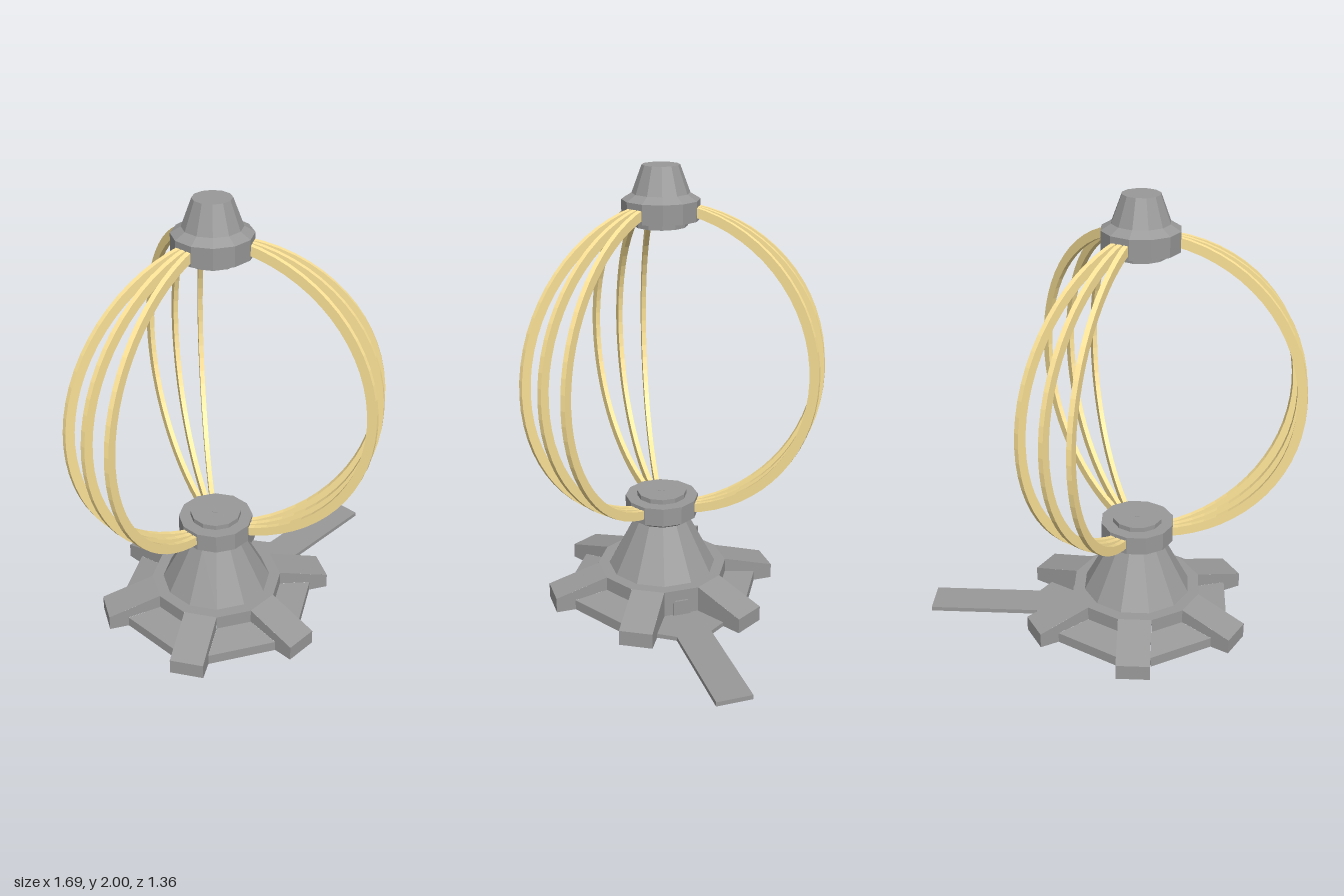
import * as THREE from 'three';

const AXIS_X = -0.126;
const grey = new THREE.MeshStandardMaterial({ color: 0x999999, flatShading: true });
const shell = new THREE.MeshStandardMaterial({ color: 0x999999, flatShading: true, side: THREE.DoubleSide });
const gold = new THREE.MeshStandardMaterial({ color: 0xffe599, flatShading: true });

function add(parent, name, geometry, material = grey) {
  const mesh = new THREE.Mesh(geometry, material);
  mesh.name = name;
  parent.add(mesh);
  return mesh;
}

// Faces given as convex corner loops, each fanned into triangles
function faces(loops) {
  const pos = [];
  for (const p of loops) {
    for (let i = 1; i < p.length - 1; i++) pos.push(...p[0], ...p[i], ...p[i + 1]);
  }
  const g = new THREE.BufferGeometry();
  g.setAttribute('position', new THREE.Float32BufferAttribute(pos, 3));
  g.computeVertexNormals();
  return g;
}

// Twelve-sided turned part, flats facing the axes; radii are across flats
function turned(profile) {
  const k = 1 / Math.cos(Math.PI / 12);
  const g = new THREE.LatheGeometry(profile.map(([r, y]) => new THREE.Vector2(r * k, y)), 12);
  return g.rotateY(Math.PI / 12);
}

// Hollow foot lying along +x; a side is taken to the ground where no skirt meets it
function footGeometry(openPlus, openMinus) {
  const w = 0.075;
  const side = (z, open) => {
    const at = ([x, y]) => [x, y, z];
    const loops = [
      [[0.29, 0.14], [0.29, open ? 0 : 0.075], [0.44, open ? 0 : 0.048], [0.44, 0.096]].map(at),
      [[0.44, 0.096], [0.44, 0], [0.53, 0], [0.53, 0.07]].map(at),
    ];
    return z > 0 ? loops : loops.map((l) => l.reverse());
  };
  return faces([
    ...side(w, openPlus),
    ...side(-w, openMinus),
    [[0.29, 0.14, w], [0.53, 0.07, w], [0.53, 0.07, -w], [0.29, 0.14, -w]],
    [[0.53, 0.07, w], [0.53, 0, w], [0.53, 0, -w], [0.53, 0.07, -w]],
  ]);
}

// Strip of quads through stations of [x, y, halfWidth]
function strip(stations) {
  const loops = [];
  for (let i = 0; i < stations.length - 1; i++) {
    const [x0, y0, w0] = stations[i];
    const [x1, y1, w1] = stations[i + 1];
    loops.push([[x0, y0, w0], [x1, y1, w1], [x1, y1, -w1], [x0, y0, -w0]]);
  }
  return faces(loops);
}

function buildBase(model) {
  const base = new THREE.Group();
  base.name = 'base';
  model.add(base);

  for (let i = 0; i < 6; i++) {
    add(base, 'foot', footGeometry(i === 0, i === 5), shell).rotation.y = Math.PI / 6 + (i * Math.PI) / 3;
    const profile = i === 0
      ? [[0.29, 0.14, 0.08], [0.29, 0, 0.08]]
      : [[0.29, 0.14, 0.08], [0.29, 0.075, 0.08], [0.42, 0.048, 0.155], [0.42, 0, 0.155]];
    add(base, i === 0 ? 'entranceWall' : 'skirtPanel', strip(profile), shell).rotation.y = (i * Math.PI) / 3;
  }
  add(base, 'platform', turned([[0.29, 0.14], [0, 0.14]]), shell);
  add(base, 'coreColumn', turned([[0, 0], [0.145, 0], [0.145, 0.15]]));

  // Door on the entrance wall
  const door = new THREE.Shape();
  door.moveTo(-0.04, 0.01);
  door.lineTo(0.04, 0.01);
  door.lineTo(0.04, 0.08);
  door.lineTo(0.03, 0.09);
  door.lineTo(-0.03, 0.09);
  door.lineTo(-0.04, 0.08);
  const doorGeo = new THREE.ExtrudeGeometry(door, { depth: 0.014, bevelEnabled: false });
  add(base, 'door', doorGeo.rotateY(Math.PI / 2).translate(0.286, 0, 0));

  // Entrance walkway, widening where it meets the feet
  const half = [[0.29, 0.08], [0.42, 0.155], [0.47, 0.08], [0.968, 0.08]];
  const outline = [...half.map(([x, z]) => [x, -z]), ...half.slice().reverse()];
  const walk = new THREE.Shape(outline.map(([x, z]) => new THREE.Vector2(x, z)));
  const walkGeo = new THREE.ExtrudeGeometry(walk, { depth: 0.02, bevelEnabled: false });
  add(base, 'walkway', walkGeo.rotateX(-Math.PI / 2));
}

function buildHubs(model) {
  add(model, 'pedestal', turned([[0.24, 0.14], [0.12, 0.377]]));
  add(model, 'lowerHub', turned([
    [0.12, 0.377], [0.162, 0.403], [0.162, 0.488], [0.11, 0.488], [0.11, 0.51], [0, 0.51],
  ]));
  add(model, 'lowerHubPin', new THREE.CylinderGeometry(0.016, 0.016, 0.006, 12).translate(0, 0.5085, 0));
  add(model, 'upperHub', turned([
    [0, 1.743], [0.11, 1.743], [0.11, 1.772], [0.162, 1.772], [0.162, 1.857], [0.12, 1.883],
  ]));
  add(model, 'topCap', turned([[0.12, 1.883], [0.078, 2], [0, 2]]));
}

// Nine curved ribs in three fans of three
function buildRibs(model) {
  const span = THREE.MathUtils.degToRad(79);
  const arc = new THREE.Shape();
  arc.absarc(0, 0, 0.72, -span, span, false);
  arc.absarc(0, 0, 0.679, span, -span, true);
  const geo = new THREE.ExtrudeGeometry(arc, { depth: 0.022, bevelEnabled: false, curveSegments: 15 });
  geo.translate(0, 1.13, -0.011);
  for (const fan of [60, 180, 300]) {
    for (const offset of [-10, 0, 10]) {
      add(model, 'rib', geo, gold).rotation.y = THREE.MathUtils.degToRad(fan + offset);
    }
  }
}

export function createModel() {
  const model = new THREE.Group();
  model.name = 'cageTower';
  const tower = new THREE.Group();
  tower.name = 'tower';
  tower.position.x = AXIS_X;
  model.add(tower);
  buildBase(tower);
  buildHubs(tower);
  buildRibs(tower);
  return model;
}
